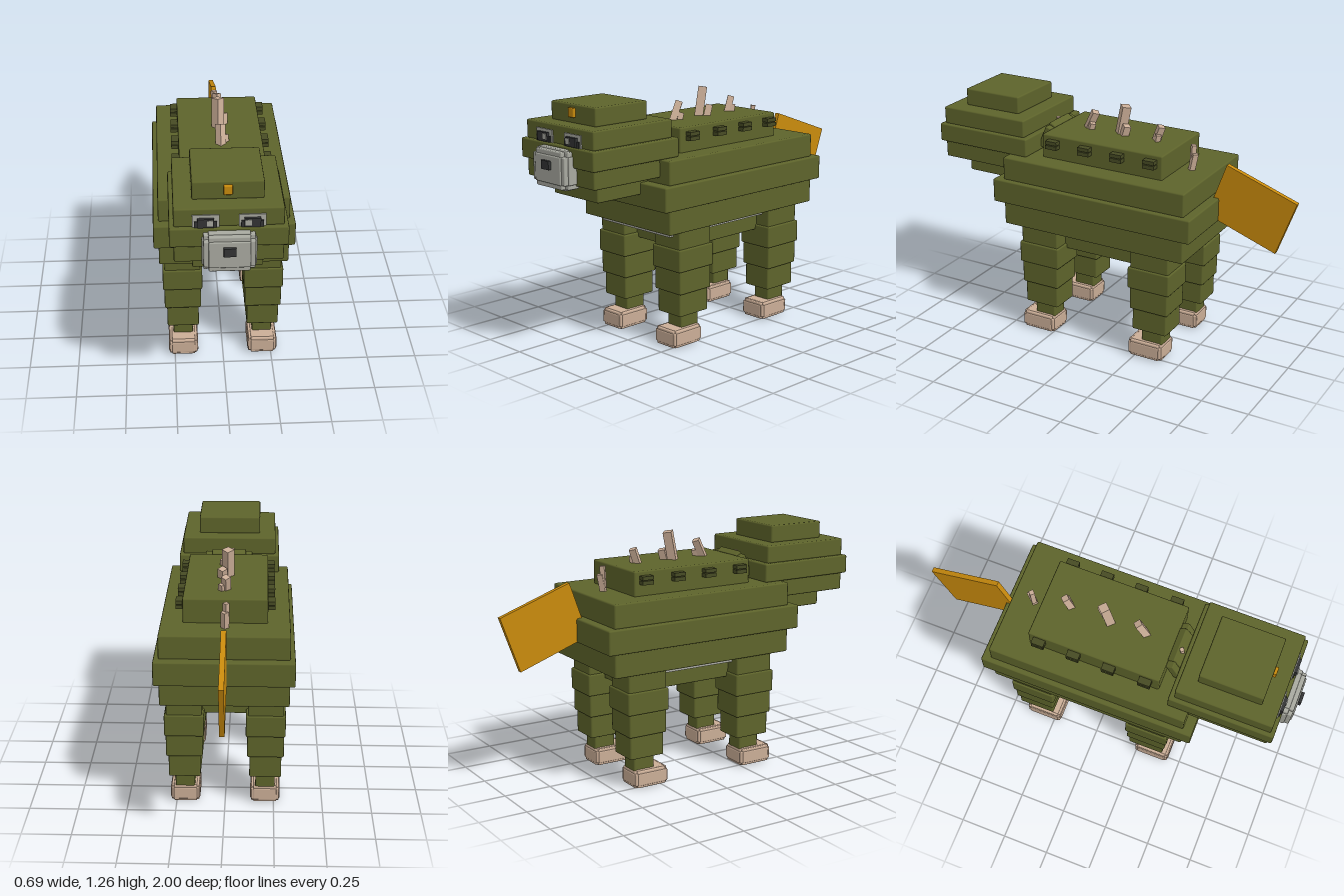
import * as THREE from 'three';
import { RoundedBoxGeometry } from 'three/addons/geometries/RoundedBoxGeometry.js';

const material = (name, color) => new THREE.MeshStandardMaterial({ name, color });

export function createModel() {
  const olive = material('olive', 0x5e642b);
  const darkOlive = material('dark olive', 0x474b24);
  const grey = material('grey', 0xa9aaa1);
  const tan = material('tan', 0xcbae97);
  const orange = material('orange', 0xc98b0d);
  const dark = material('dark', 0x333435);

  const model = new THREE.Group();
  model.name = 'blockyAnimal';

  // Box between two corners; r > 0 softens its edges
  const box = (parent, name, mat, [x0, x1], [y0, y1], [z0, z1], r = 0) => {
    const size = [x1 - x0, y1 - y0, z1 - z0];
    const geo = r ? new RoundedBoxGeometry(...size, 1, r) : new THREE.BoxGeometry(...size);
    const mesh = new THREE.Mesh(geo, mat);
    mesh.name = name;
    mesh.position.set((x0 + x1) / 2, (y0 + y1) / 2, (z0 + z1) / 2);
    parent.add(mesh);
    return mesh;
  };

  // Three crossing boxes that form a block with notched edges
  const notchedBlock = (parent, name, mat, x, y, z, inset) => {
    const g = new THREE.Group();
    g.name = name;
    parent.add(g);
    for (let axis = 0; axis < 3; axis++) {
      const spans = [x, y, z].map(([a, b], i) => (i === axis ? [a, b] : [a + inset, b - inset]));
      box(g, name + 'Block', mat, ...spans, 0.006);
    }
    for (let axis = 0; axis < 3; axis++) {
      const h = inset * 0.25;
      const spans = [x, y, z].map(([a, b], i) => (i === axis ? [a + inset, b - inset] : [a + h, b - h]));
      box(g, name + 'Edge', mat, ...spans, 0.006);
    }
    return g;
  };

  // Stacked slabs: [half width, bottom, top, back, front]
  const stack = (name, slabs) => {
    const g = new THREE.Group();
    g.name = name;
    model.add(g);
    slabs.forEach(([w, y0, y1, z0, z1]) => box(g, name + 'Slab', olive, [-w, w], [y0, y1], [z0, z1], 0.008));
    return g;
  };

  const body = stack('body', [
    [0.21, 0.49, 0.62, -0.365, 0.325],
    [0.32, 0.61, 0.737, -0.54, 0.5],
    [0.345, 0.735, 0.86, -0.585, 0.55],
    [0.32, 0.857, 0.98, -0.54, 0.5],
    [0.21, 0.975, 1.105, -0.365, 0.325],
  ]);
  box(body, 'bellyPlate', grey, [-0.25, 0.25], [0.58, 0.612], [-0.45, 0.44]);

  const head = stack('head', [
    [0.165, 0.8, 0.893, 0.5, 0.82],
    [0.25, 0.89, 0.983, 0.415, 0.91],
    [0.27, 0.98, 1.077, 0.39, 0.93],
    [0.25, 1.075, 1.167, 0.415, 0.91],
    [0.165, 1.165, 1.257, 0.5, 0.825],
  ]);

  // Tilted collar behind the head
  const collar = box(head, 'collar', olive, [-0.125, 0.125], [0.99, 1.11], [0.345, 0.385], 0.006);
  collar.rotation.x = 0.4 * -1;
  const collarInner = box(head, 'collarRidge', olive, [-0.09, 0.09], [1.0, 1.125], [0.35, 0.39], 0.006);
  collarInner.rotation.x = -0.55;

  // Face
  notchedBlock(head, 'snout', grey, [-0.125, 0.125], [0.87, 1.065], [0.86, 0.985], 0.03);
  box(head, 'nose', dark, [-0.028, 0.028], [0.968, 1.01], [0.97, 1.0]);
  box(head, 'foreheadGem', orange, [-0.021, 0.021], [1.194, 1.24], [0.8, 0.84], 0.005);
  for (const s of [-1, 1]) {
    const eye = new THREE.Group();
    eye.name = s > 0 ? 'leftEye' : 'rightEye';
    eye.position.x = s * 0.105;
    head.add(eye);
    box(eye, 'eyeWhite', grey, [-0.061, 0.061], [1.075, 1.138], [0.905, 0.916]);
    box(eye, 'lowerLid', dark, [-0.051, 0.051], [1.074, 1.108], [0.908, 0.922]);
    box(eye, 'pupil', dark, [-0.037, 0.037], [1.08, 1.124], [0.908, 0.93]);
    const hx = -s * 0.019;
    box(eye, 'highlight', grey, [hx - 0.014, hx + 0.014], [1.09, 1.118], [0.925, 0.934]);
  }

  // Side vents along the back
  for (const s of [-1, 1]) for (const z of [-0.305, -0.12, 0.065, 0.255]) {
    const xs = s > 0 ? [0.2, 0.245] : [-0.245, -0.2];
    box(body, 'vent', darkOlive, xs, [1.04, 1.06], [z - 0.032, z + 0.032]);
    box(body, 'ventCap', darkOlive, xs, [1.064, 1.083], [z - 0.032, z + 0.032]);
  }

  // Legs: [half width, half depth, bottom, top]
  const segments = [[0.09, 0.108, 0.51, 0.62], [0.1, 0.117, 0.402, 0.518], [0.093, 0.107, 0.284, 0.403],
    [0.081, 0.097, 0.165, 0.285], [0.05, 0.059, 0.085, 0.17]];
  for (const s of [-1, 1]) for (const z of [0.305, -0.342]) {
    const leg = new THREE.Group();
    leg.name = (z > 0 ? 'front' : 'rear') + (s > 0 ? 'Left' : 'Right') + 'Leg';
    leg.position.set(s * 0.205, 0, z);
    model.add(leg);
    segments.forEach(([w, d, y0, y1]) => box(leg, 'legSegment', olive, [-w, w], [y0, y1], [-d, d], 0.008));
    notchedBlock(leg, 'foot', tan, [-0.076, 0.076], [0, 0.097], [-0.066, 0.13], 0.016);
  }

  // Leaning spines: [x, base y, base z, thickness, length, lean back]
  const spines = [
    [0, 1.08, 0.185, 0.036, 0.125, -0.45], [0.022, 1.09, 0.15, 0.028, 0.05, -0.3],
    [-0.005, 1.08, -0.01, 0.045, 0.175, -0.2], [0.022, 1.09, -0.045, 0.036, 0.07, -0.3],
    [0, 1.08, -0.215, 0.034, 0.105, -0.35], [0.02, 1.09, -0.235, 0.026, 0.05, -0.2],
    [0, 0.96, -0.42, 0.028, 0.11, -0.2], [-0.006, 1.0, -0.425, 0.024, 0.11, -0.05],
    [-0.02, 1.05, 0.37, 0.02, 0.07, 0],
  ];
  spines.forEach(([x, y, z, t, len, lean]) => {
    const spine = new THREE.Mesh(new THREE.BoxGeometry(t, len, t).translate(0, len / 2, 0), tan);
    spine.name = 'spine';
    spine.position.set(x, y, z);
    spine.rotation.set(lean, Math.PI / 4, 0);
    model.add(spine);
  });

  // Tail plate
  const tail = box(model, 'tail', orange, [-0.013, 0.013], [0.686, 0.986], [-0.96, -0.56]);
  tail.rotation.x = -0.342;
  return model;
}
